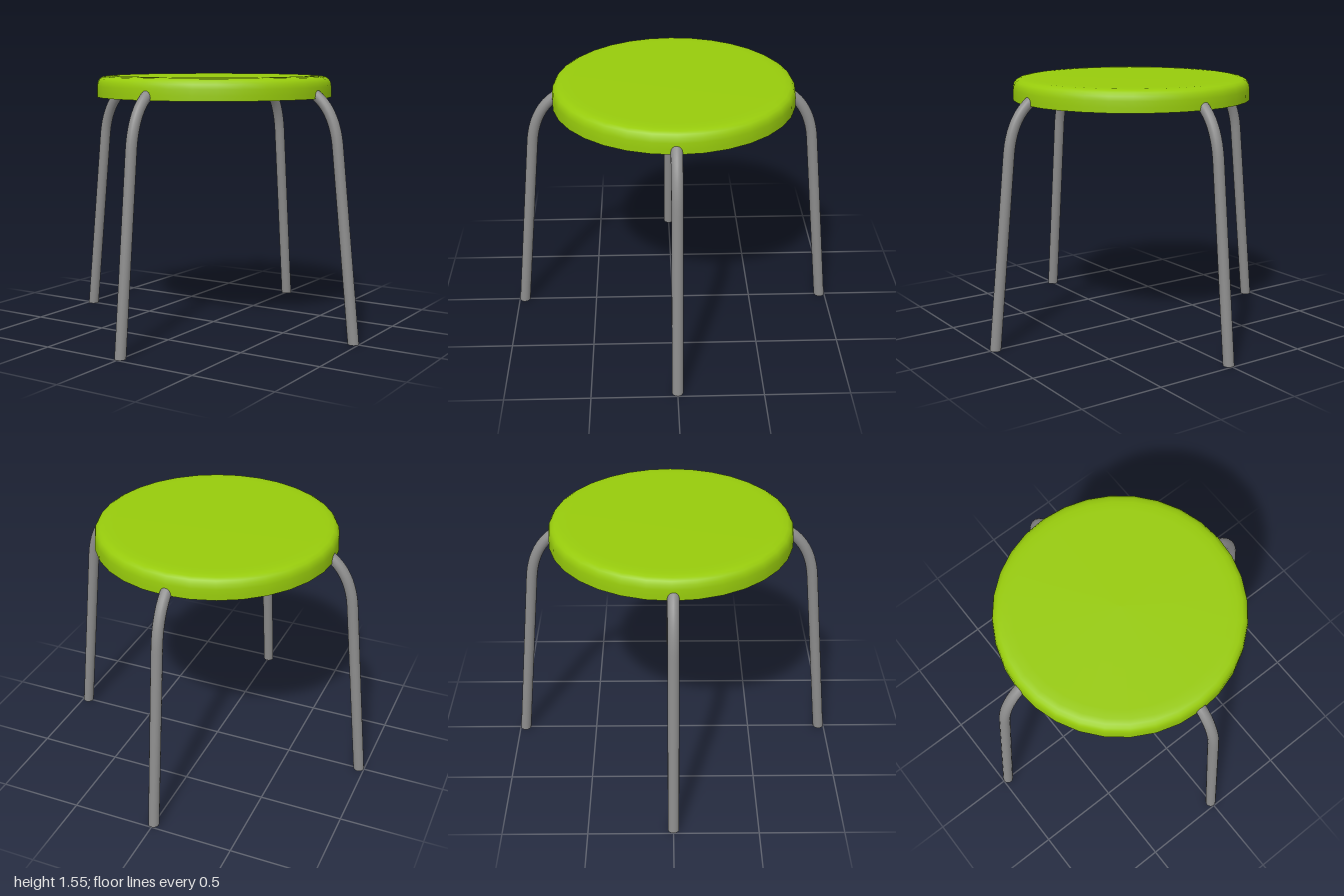
import * as THREE from 'three';

const TUBE_R = 0.033;
const steel = new THREE.MeshStandardMaterial({ color: 0x8c8c8c });
const green = new THREE.MeshStandardMaterial({ color: 0x98cc0c, side: THREE.DoubleSide });

// Half of a bent tube: floor -> bend -> centre under the seat, on side s
function halfPath(s) {
  const v = (x, y) => new THREE.Vector3(s * x, y, 0);
  return [
    [v(0.966, 0), v(0.845, 1.15)],
    [v(0.845, 1.15), v(0.825, 1.34), v(0.73, 1.46), v(0.6, 1.483)],
    [v(0.6, 1.483), v(0, 1.483)],
  ];
}

function toCurve(p) {
  return p.length === 2 ? new THREE.LineCurve3(...p) : new THREE.CubicBezierCurve3(...p);
}

// One tube forming two opposite legs
function legPair() {
  const group = new THREE.Group();
  const path = new THREE.CurvePath();
  halfPath(-1).forEach((p) => path.add(toCurve(p)));
  halfPath(1).reverse().forEach((p) => path.add(toCurve(p.reverse())));

  const geo = new THREE.TubeGeometry(path, 120, TUBE_R, 16);
  // Cut the ends level with the floor
  const pos = geo.attributes.position;
  for (let i = 0; i < pos.count; i++) if (pos.getY(i) < 0.01) pos.setY(i, 0);
  const tube = new THREE.Mesh(geo, steel);
  tube.name = 'legTube';
  group.add(tube);

  for (const s of [-1, 1]) {
    const foot = new THREE.Mesh(new THREE.CircleGeometry(TUBE_R, 16), steel);
    foot.rotation.x = Math.PI / 2;
    foot.position.x = s * 0.966;
    foot.name = 'footEnd';
    group.add(foot);
  }
  return group;
}

export function createModel() {
  const model = new THREE.Group();
  model.name = 'stool';

  // Seat: thin round shell, open underneath, with a rounded top edge
  const profile = [
    [0.717, 1.42], [0.717, 1.45], [0.716, 1.485], [0.711, 1.511], [0.699, 1.53],
    [0.68, 1.541], [0.65, 1.546], [0.6, 1.548], [0, 1.548],
  ].map(([x, y]) => new THREE.Vector2(x, y));
  const seat = new THREE.Mesh(new THREE.LatheGeometry(profile, 32), green);
  seat.position.z = -0.007;
  seat.name = 'seat';
  model.add(seat);

  // Two crossing leg frames
  ['sideLegs', 'frontBackLegs'].forEach((name, i) => {
    const legs = legPair();
    legs.rotation.y = (i * Math.PI) / 2;
    legs.name = name;
    model.add(legs);
  });
  return model;
}
